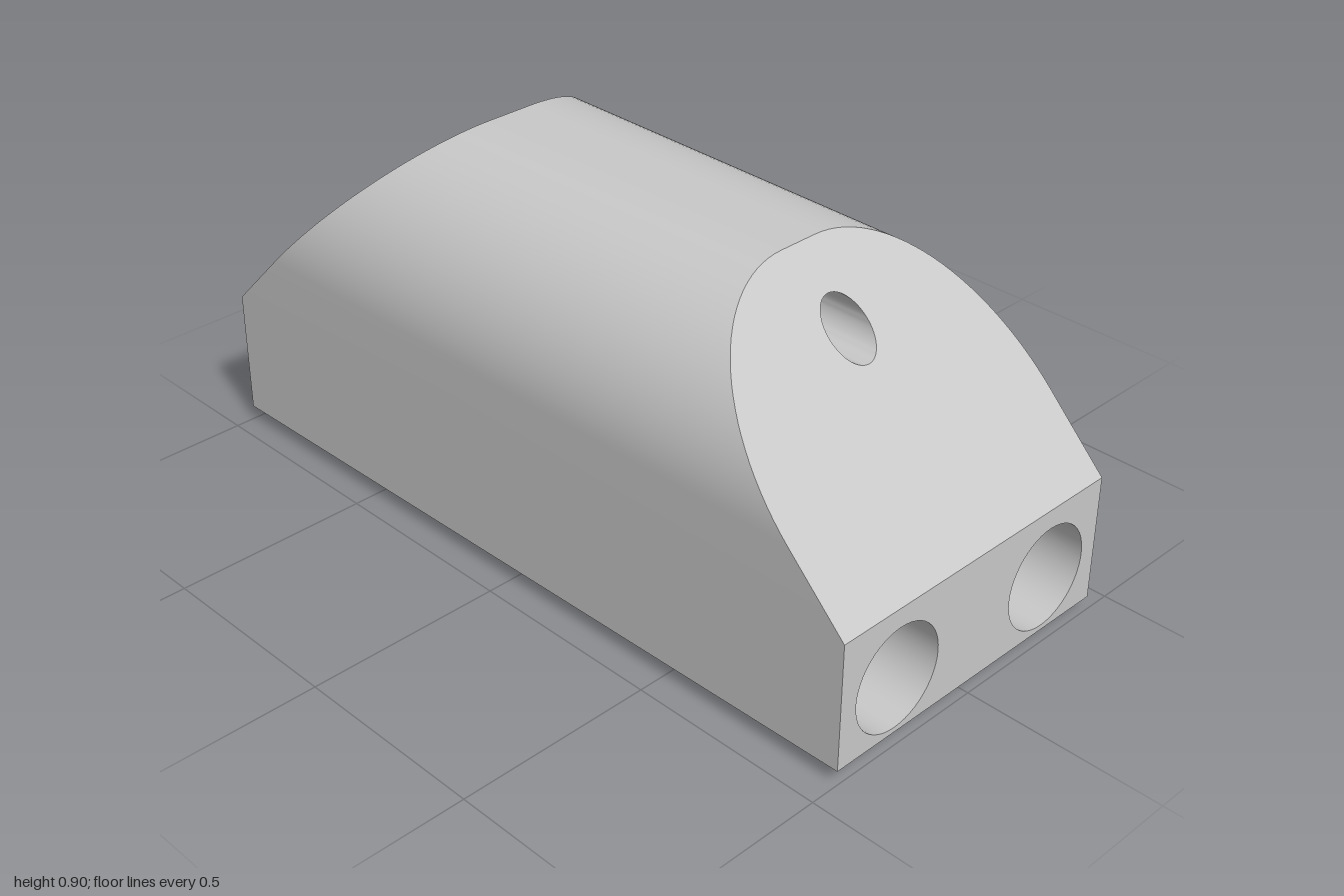
import * as THREE from 'three';
import { toCreasedNormals } from 'three/addons/utils/BufferGeometryUtils.js';

const HEIGHT = 0.897, SHOULDER = 0.36, CHAMFER = 0.037, RADIUS = 0.38;

// Half width of the body: it narrows slightly towards +x
const halfWidth = (x) => 0.437 - 0.01 * x;

// Half length at a height: chamfer, upright end, then 45 degree slope
const halfLength = (y) =>
  y < CHAMFER ? 1 - (CHAMFER - y) : y <= SHOULDER ? 1 : 1 + SHOULDER - y;

// Half profile as [height, inset from the side]
const profile = [[0, CHAMFER], [CHAMFER, 0], [SHOULDER, 0]];
for (let i = 0; i <= 28; i++) {
  const a = (i / 28) * Math.PI / 2;
  profile.push([HEIGHT - RADIUS + RADIUS * Math.sin(a), RADIUS * (1 - Math.cos(a))]);
}

// Bores: centre height, radius and centre line z at x
const bores = [
  { name: 'leftBore', y: 0.18, r: 0.13, z: (x) => halfWidth(x) - 0.177 },
  { name: 'rightBore', y: 0.18, r: 0.13, z: (x) => 0.177 - halfWidth(x) },
  { name: 'topBore', y: 0.748, r: 0.061, z: () => 0 },
];
const circle = Array.from({ length: 48 }, (_, i) => (i / 48) * Math.PI * 2);

// Ruled strip between the two ends of a closed ring; ring items are { y, z(x) }
function loft(ring, inward = false) {
  const pos = [], index = [], n = ring.length;
  ring.forEach(({ y, z }, i) => {
    const x = halfLength(y), j = (i + 1) % n;
    pos.push(-x, y, z(-x), x, y, z(x));
    const [a, b, c, d] = [2 * i, 2 * i + 1, 2 * j + 1, 2 * j];
    index.push(...(inward ? [a, c, b, a, d, c] : [a, b, c, a, c, d]));
  });
  const g = new THREE.BufferGeometry();
  g.setAttribute('position', new THREE.Float32BufferAttribute(pos, 3));
  g.setIndex(index);
  return toCreasedNormals(g, 0.5);
}

// One facet of an end, cut by bores and laid onto the end surface
function endFacet(side, points, holes) {
  const half = points.map(([y, inset]) =>
    new THREE.Vector2(halfWidth(side * halfLength(y)) - inset, y));
  const mirrored = half.map((p) => new THREE.Vector2(-p.x, p.y)).reverse();
  const shape = new THREE.Shape([...half, ...mirrored]);
  for (const b of holes) {
    shape.holes.push(new THREE.Path(circle.map((a) => {
      const y = b.y + b.r * Math.sin(a);
      return new THREE.Vector2(-side * (b.z(side * halfLength(y)) + b.r * Math.cos(a)), y);
    })));
  }
  const g = new THREE.ShapeGeometry(shape);
  const p = g.attributes.position;
  for (let i = 0; i < p.count; i++) {
    const u = p.getX(i), y = p.getY(i);
    p.setXYZ(i, side * halfLength(y), y, -side * u);
  }
  g.computeVertexNormals();
  return g;
}

export function createModel() {
  const group = new THREE.Group();
  group.name = 'taperedBlock';
  const grey = new THREE.MeshStandardMaterial({ color: 0xc8c8c8 });
  grey.name = 'light grey';
  const add = (name, geometry) => {
    const mesh = new THREE.Mesh(geometry, grey);
    mesh.name = name;
    group.add(mesh);
  };

  // Sides, rounded top and base
  const ring = [
    ...profile.map(([y, inset]) => ({ y, z: (x) => halfWidth(x) - inset })),
    ...profile.map(([y, inset]) => ({ y, z: (x) => inset - halfWidth(x) })).reverse(),
  ];
  add('bodyShell', loft(ring));

  // Chamfer, upright face and sloped face at both ends
  for (const [side, label] of [[1, 'left'], [-1, 'right']]) {
    add(label + 'Chamfer', endFacet(side, profile.slice(0, 2), []));
    add(label + 'EndFace', endFacet(side, profile.slice(1, 3), bores.slice(0, 2)));
    add(label + 'Slope', endFacet(side, profile.slice(2), bores.slice(2)));
  }

  // Walls of the through bores
  for (const b of bores) {
    add(b.name, loft(circle.map((a) => ({
      y: b.y + b.r * Math.sin(a),
      z: (x) => b.z(x) + b.r * Math.cos(a),
    })), true));
  }
  return group;
}
